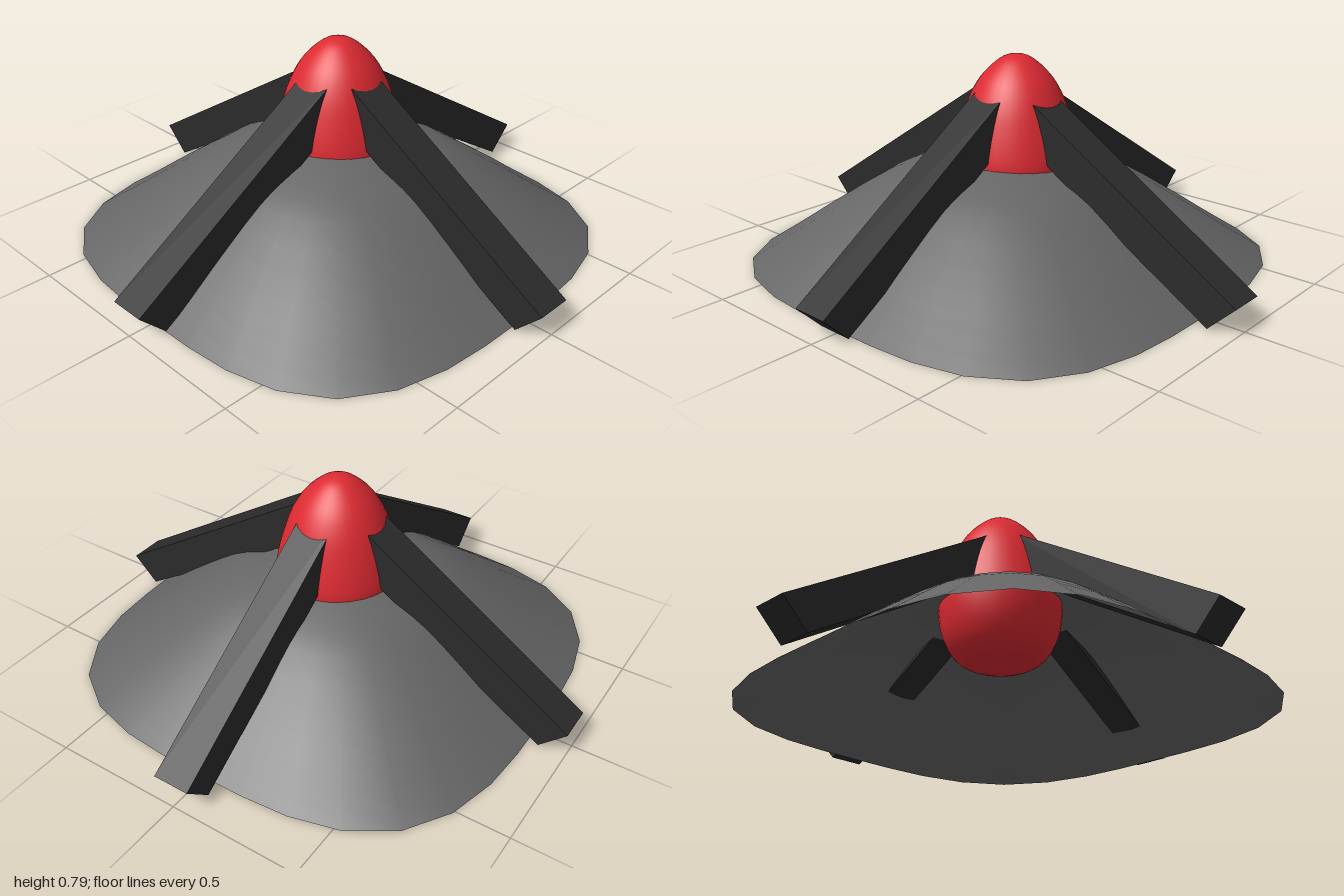
import * as THREE from 'three';

const material = (color, side = THREE.FrontSide) => new THREE.MeshStandardMaterial({ color, side });

// Thin dish: rings go from round at the top to a rounded square at the rim
function dishGeometry() {
  const profile = new THREE.SplineCurve([
    [0, 0.45], [0.1, 0.443], [0.21, 0.412], [0.33, 0.37], [0.45, 0.312], [0.63, 0.183], [0.75, 0.09], [0.87, 0],
  ].map(([r, y]) => new THREE.Vector2(r, y)));
  const segments = 32, rings = 16;
  const positions = [], index = [];
  for (let i = 0; i <= rings; i++) {
    const p = profile.getPoint(i / rings);
    const n = 2 + 1.2 * (p.x / 0.87);
    for (let j = 0; j < segments; j++) {
      const a = (j / segments) * Math.PI * 2;
      const c = Math.cos(a), s = Math.sin(a);
      const r = p.x / Math.pow(Math.abs(c) ** n + Math.abs(s) ** n, 1 / n);
      positions.push(r * c, p.y, r * s);
      if (i < rings) {
        const k = (j + 1) % segments, u = i * segments, v = u + segments;
        if (i > 0) index.push(u + j, u + k, v + j);
        index.push(u + k, v + k, v + j);
      }
    }
  }
  const geometry = new THREE.BufferGeometry();
  geometry.setAttribute('position', new THREE.Float32BufferAttribute(positions, 3));
  geometry.setIndex(index);
  geometry.computeVertexNormals();
  return geometry;
}

// Egg-shaped cap with a flattened underside
function capGeometry() {
  const profile = new THREE.SplineCurve([
    [0, 0.165], [0.1, 0.175], [0.17, 0.21], [0.217, 0.29], [0.235, 0.39], [0.227, 0.46],
    [0.207, 0.54], [0.18, 0.62], [0.14, 0.695], [0.09, 0.75], [0.045, 0.782], [0, 0.792],
  ].map(([r, y]) => new THREE.Vector2(r, y)));
  const points = profile.getPoints(30);
  points.forEach((p) => { p.x = Math.max(p.x, 0); });
  return new THREE.LatheGeometry(points, 32);
}

// Slanted square beam, drawn in side profile and turned to its direction
function legGeometry(angle) {
  const shape = new THREE.Shape([
    [0.9, 0.005], [1, 0.105], [0.1, 0.675], [0.1, 0.5],
  ].map(([r, y]) => new THREE.Vector2(r, y)));
  const geometry = new THREE.ExtrudeGeometry(shape, { depth: 0.14, bevelEnabled: false });
  geometry.translate(0, 0, -0.07).rotateY(angle);
  // Legs converge slightly off centre at the top
  const pos = geometry.attributes.position;
  for (let i = 0; i < pos.count; i++) {
    const x = pos.getX(i), z = pos.getZ(i);
    const t = 1 - Math.max(Math.abs(x), Math.abs(z));
    pos.setX(i, x - 0.016 * t);
    pos.setZ(i, z + 0.014 * t);
  }
  geometry.computeVertexNormals();
  return geometry;
}

export function createModel() {
  const model = new THREE.Group();
  const add = (name, geometry, mat) => {
    const mesh = new THREE.Mesh(geometry, mat);
    mesh.name = name;
    model.add(mesh);
    return mesh;
  };

  add('dish', dishGeometry(), material(0x666666, THREE.DoubleSide)).position.set(-0.03, 0, 0.012);
  add('cap', capGeometry(), material(0xdd2a32)).position.x = -0.005;

  const dark = material(0x2b2b2b);
  ['leftLeg', 'backLeg', 'rightLeg', 'frontLeg'].forEach((name, i) => {
    add(name, legGeometry(i * Math.PI / 2), dark);
  });
  return model;
}
